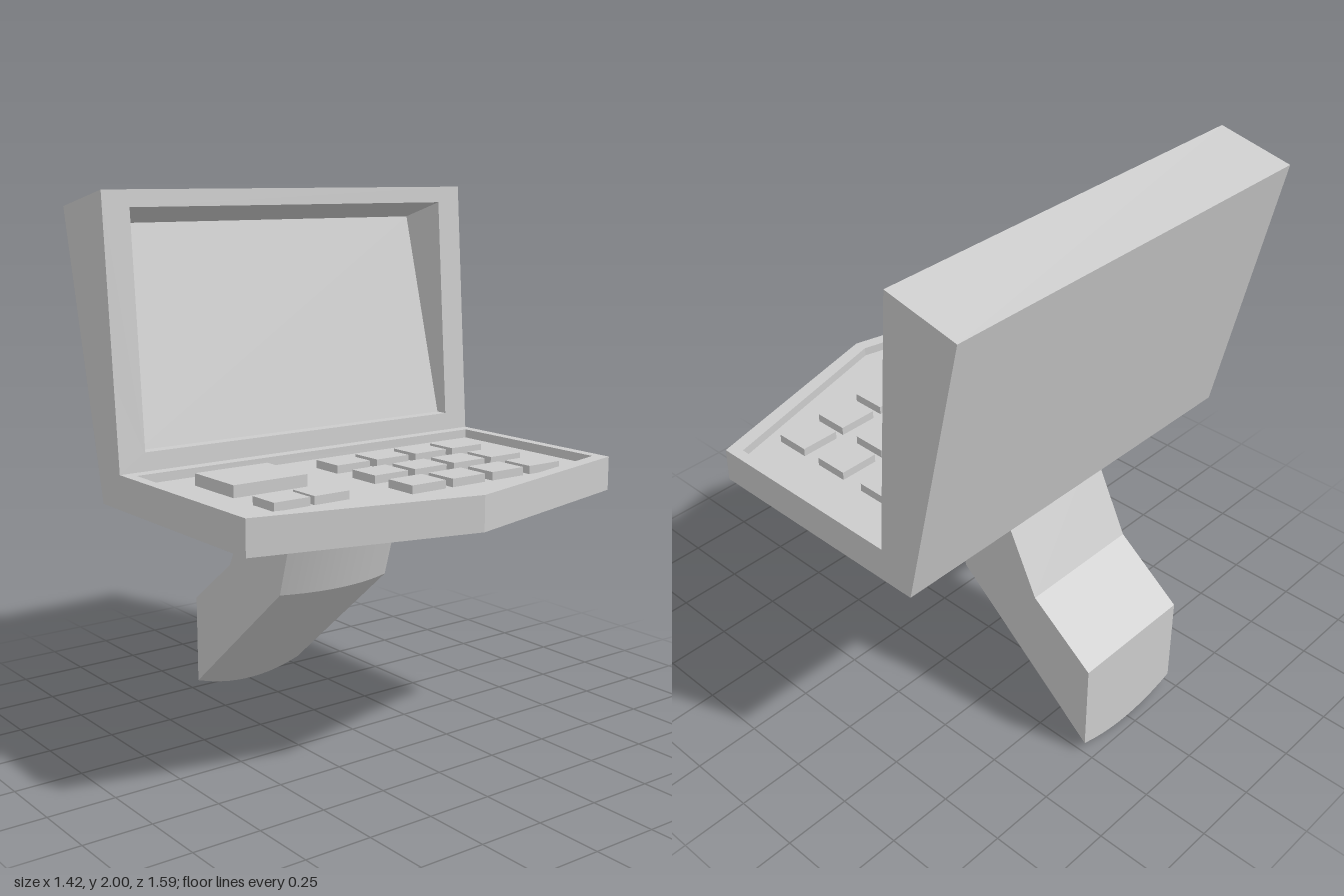
import * as THREE from 'three';
import { toCreasedNormals } from 'three/addons/utils/BufferGeometryUtils.js';

const material = new THREE.MeshStandardMaterial({ color: 0xcccccc });

function add(group, name, geometry) {
  const mesh = new THREE.Mesh(geometry, material);
  mesh.name = name;
  group.add(mesh);
  return mesh;
}

// Skin a series of equal-length rings of [x, y, z] points and cap both ends
function loft(rings, crease) {
  const pos = [];
  const tri = (a, b, c) => pos.push(...a, ...b, ...c);
  const n = rings[0].length;
  for (let r = 0; r < rings.length - 1; r++) {
    for (let i = 0; i < n; i++) {
      const j = (i + 1) % n;
      const [a, b, c, d] = [rings[r][i], rings[r][j], rings[r + 1][j], rings[r + 1][i]];
      tri(a, b, c);
      tri(a, c, d);
    }
  }
  const first = rings[0], last = rings[rings.length - 1];
  for (let i = 1; i < n - 1; i++) {
    tri(first[0], first[i + 1], first[i]);
    tri(last[0], last[i], last[i + 1]);
  }
  const g = new THREE.BufferGeometry();
  g.setAttribute('position', new THREE.Float32BufferAttribute(pos, 3));
  return toCreasedNormals(g, crease);
}

// Five-sided plan with a pointed +x edge
const plan = (back, shoulder, tip, half) => [
  [back, -half], [shoulder, -half], [tip, 0], [shoulder, half], [back, half],
].map(([x, y]) => new THREE.Vector2(x, y));

function slab(outline, hole, y, height) {
  const shape = new THREE.Shape(outline);
  if (hole) shape.holes.push(new THREE.Path(hole));
  return new THREE.ExtrudeGeometry(shape, { depth: height, bevelEnabled: false })
    .rotateX(-Math.PI / 2).translate(0, y, 0);
}

export function createModel() {
  const model = new THREE.Group();
  model.name = 'computerTerminal';

  // Keyboard base with a shallow tray
  const outer = plan(-0.41, 0.51, 0.71, 0.795);
  const inner = plan(-0.235, 0.465, 0.66, 0.755);
  const floor = 1.0, rimTop = 1.033;
  add(model, 'keyboardBase', slab(outer, null, 0.908, floor - 0.908));
  add(model, 'keyboardRim', slab(outer, inner, floor, rimTop - floor));

  // Wedge-shaped screen case: back, front edge, opening, recessed panel
  const ring = (x0, y0, x1, y1, h) => [[x0, y0, h], [x0, y0, -h], [x1, y1, -h], [x1, y1, h]];
  add(model, 'screenCase', loft([
    ring(-0.41, 0.908, -0.635, 1.94, 0.795),
    ring(-0.282, rimTop, -0.35, 2.0, 0.795),
    ring(-0.287, 1.10, -0.346, 1.94, 0.69),
    ring(-0.336, 1.10, -0.545, 1.88, 0.69),
  ], 0.1));

  // Keys
  const keys = new THREE.Group();
  keys.name = 'keys';
  model.add(keys);
  const key = (name, x, z, w, d, h) => {
    add(keys, name, new THREE.BoxGeometry(w, h, d)).position.set(x, floor + h / 2, z);
  };
  for (const x of [-0.037, 0.18, 0.383]) {
    for (const z of [-0.527, -0.348, -0.165, 0.015]) key('key', x, z, 0.128, 0.148, 0.03);
  }
  for (const z of [0.372, 0.531]) key('sideKey', 0.318, z, 0.122, 0.142, 0.03);
  key('largeKey', 0.013, 0.448, 0.246, 0.3, 0.044);

  // Bent stand, flat behind and rounded in front
  const half = 0.245, steps = 10;
  const section = (back, side, centre) => {
    const points = [];
    for (let i = 0; i <= steps; i++) {
      const t = 1 - (2 * i) / steps;
      const k = 1 - t * t;
      points.push([
        side[0] + (centre[0] - side[0]) * k,
        side[1] + (centre[1] - side[1]) * k,
        half * t,
      ]);
    }
    points.push([...back, -half], [...back, half]);
    return points;
  };
  add(model, 'stand', loft([
    section([-0.71, 0.39], [-0.71, 0.042], [-0.71, 0]),
    section([-0.455, 0.583], [-0.118, 0.54], [-0.068, 0.54]),
    section([-0.292, 0.91], [-0.005, 0.91], [0.04, 0.91]),
  ], 0.4));

  return model;
}
